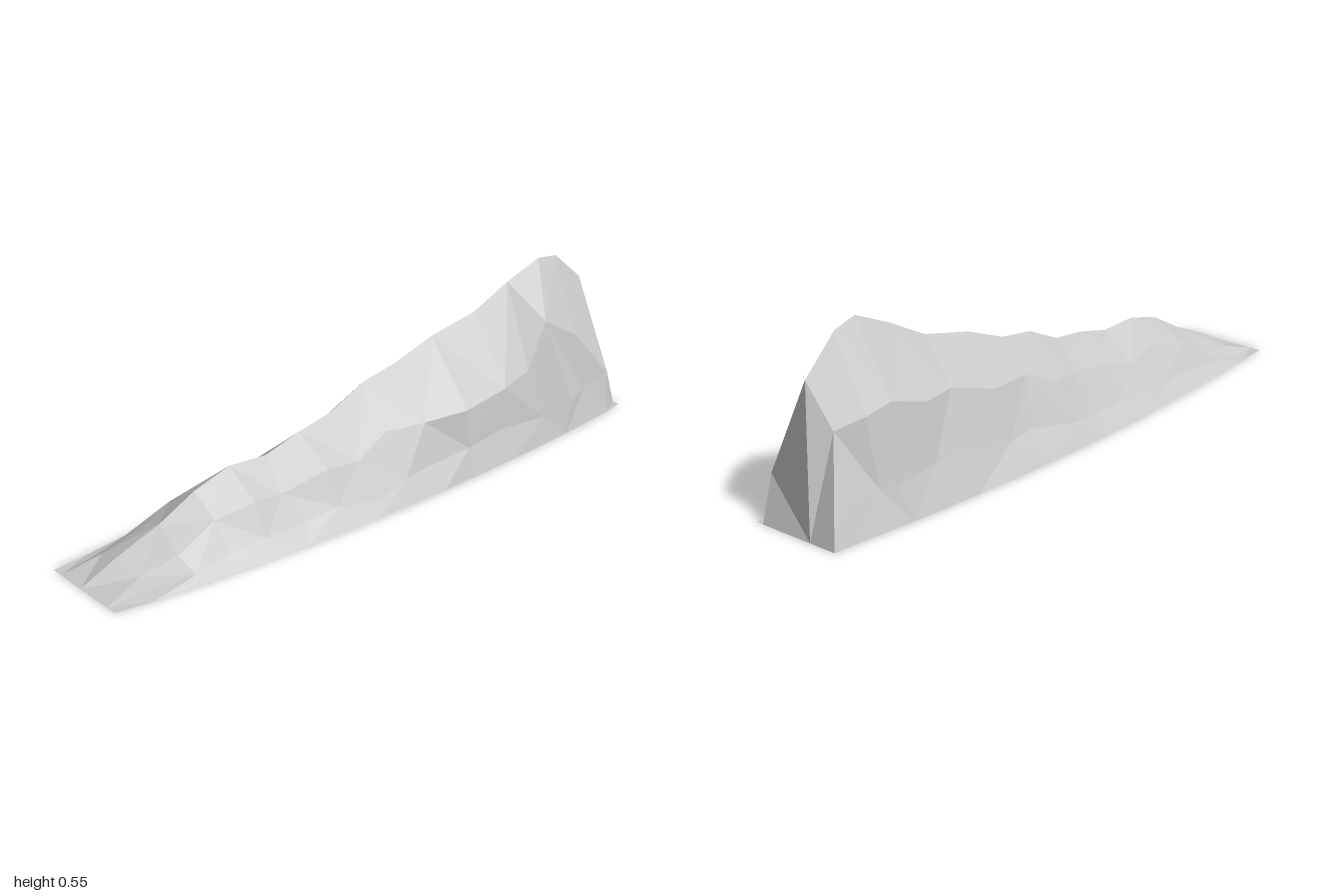
import * as THREE from 'three';

// Stations along the ridge:
// crest x, y, z, front shoulder x, y, z, back shoulder x, y, z
const STATIONS = [
  [-0.88, 0.06, -0.012, -0.86, 0.025, 0.07, -0.88, 0.035, -0.09],
  [-0.74, 0.12, 0.0, -0.75, 0.065, 0.10, -0.73, 0.08, -0.085],
  [-0.62, 0.185, 0.005, -0.61, 0.12, 0.085, -0.63, 0.11, -0.105],
  [-0.49, 0.22, 0.0, -0.48, 0.14, 0.105, -0.50, 0.15, -0.08],
  [-0.36, 0.213, 0.005, -0.38, 0.13, 0.10, -0.35, 0.13, -0.11],
  [-0.23, 0.245, 0.0, -0.22, 0.16, 0.115, -0.24, 0.16, -0.095],
  [-0.10, 0.263, -0.012, -0.11, 0.15, 0.12, -0.09, 0.18, -0.10],
  [0.03, 0.322, -0.015, 0.02, 0.20, 0.10, 0.02, 0.19, -0.12],
  [0.16, 0.342, -0.02, 0.15, 0.20, 0.13, 0.15, 0.24, -0.10],
  [0.30, 0.395, -0.01, 0.29, 0.21, 0.168, 0.31, 0.25, -0.12],
  [0.47, 0.432, 0.0, 0.46, 0.225, 0.155, 0.48, 0.30, -0.105],
  [0.60, 0.50, 0.01, 0.57, 0.25, 0.145, 0.60, 0.30, -0.125],
  [0.72, 0.552, 0.023, 0.66, 0.385, 0.125, 0.73, 0.34, -0.117],
  [0.81, 0.535, 0.012, 0.80, 0.30, 0.122, 0.82, 0.32, -0.108],
  [0.93, 0.43, 0.005, 0.945, 0.13, 0.137, 0.905, 0.295, -0.07],
];
const LEFT_TIP_Z = [-0.155, -0.12, -0.07, -0.02, 0.05, 0.11, 0.145];
const RIGHT_TIP_Z = [-0.155, -0.155, -0.063, -0.063, 0.12, 0.12, 0.145];

function seeded(seed) {
  return () => {
    seed = (seed * 16807) % 2147483647;
    return (seed / 2147483647) * 2 - 1;
  };
}

const halfWidth = (x) => 0.152 + 0.064 * (1 - x * x);

// Each cross-section runs from the back foot over the crest to the front foot
function buildSections() {
  const rnd = seeded(4711);
  const tip = (x, zs) => zs.map((z) => new THREE.Vector3(x, 0, z));
  const sections = STATIONS.map(([x, cy, cz, fx, fy, fz, bx, by, bz], i) => {
    const w = halfWidth(x);
    const rough = i === STATIONS.length - 1 ? 0 : 1;
    // Steep wall point between a shoulder and its slightly flared foot
    const wall = (y, z, side) => {
      const t = 0.35 + rnd() * 0.1 * rough;
      return new THREE.Vector3(
        x + rnd() * 0.03 * rough, y * t,
        THREE.MathUtils.lerp(side * w, z, t) + (rnd() * 0.008 - side * 0.007) * rough);
    };
    return [
      new THREE.Vector3(x, 0, -w),
      wall(by, bz, -1),
      new THREE.Vector3(bx, by, bz),
      new THREE.Vector3(x, cy, cz),
      new THREE.Vector3(fx, fy, fz),
      wall(fy, fz, 1),
      new THREE.Vector3(x, 0, w),
    ];
  });
  return [tip(-1, LEFT_TIP_Z), ...sections, tip(1, RIGHT_TIP_Z)];
}

// Joins the cross-sections into a closed faceted body, with a flat underside
function loft(sections) {
  const n = sections[0].length;
  const pos = [];
  const tri = (...pts) => pts.forEach((p) => pos.push(p.x, p.y, p.z));
  for (let i = 0; i < sections.length - 1; i++) {
    for (let j = 0; j < n; j++) {
      const k = (j + 1) % n;
      const a = sections[i][j], b = sections[i + 1][j];
      const c = sections[i + 1][k], d = sections[i][k];
      if ((i + j) % 2) {
        tri(a, d, c);
        tri(a, c, b);
      } else {
        tri(a, d, b);
        tri(d, c, b);
      }
    }
  }
  const geo = new THREE.BufferGeometry();
  geo.setAttribute('position', new THREE.Float32BufferAttribute(pos, 3));
  geo.computeVertexNormals();
  return geo;
}

export function createModel() {
  const group = new THREE.Group();
  group.name = 'rockRidge';
  const stone = new THREE.MeshStandardMaterial({ color: 0xc8c8c8 });
  stone.name = 'grey stone';
  stone.flatShading = true;
  const ridge = new THREE.Mesh(loft(buildSections()), stone);
  ridge.name = 'ridge';
  group.add(ridge);
  return group;
}
